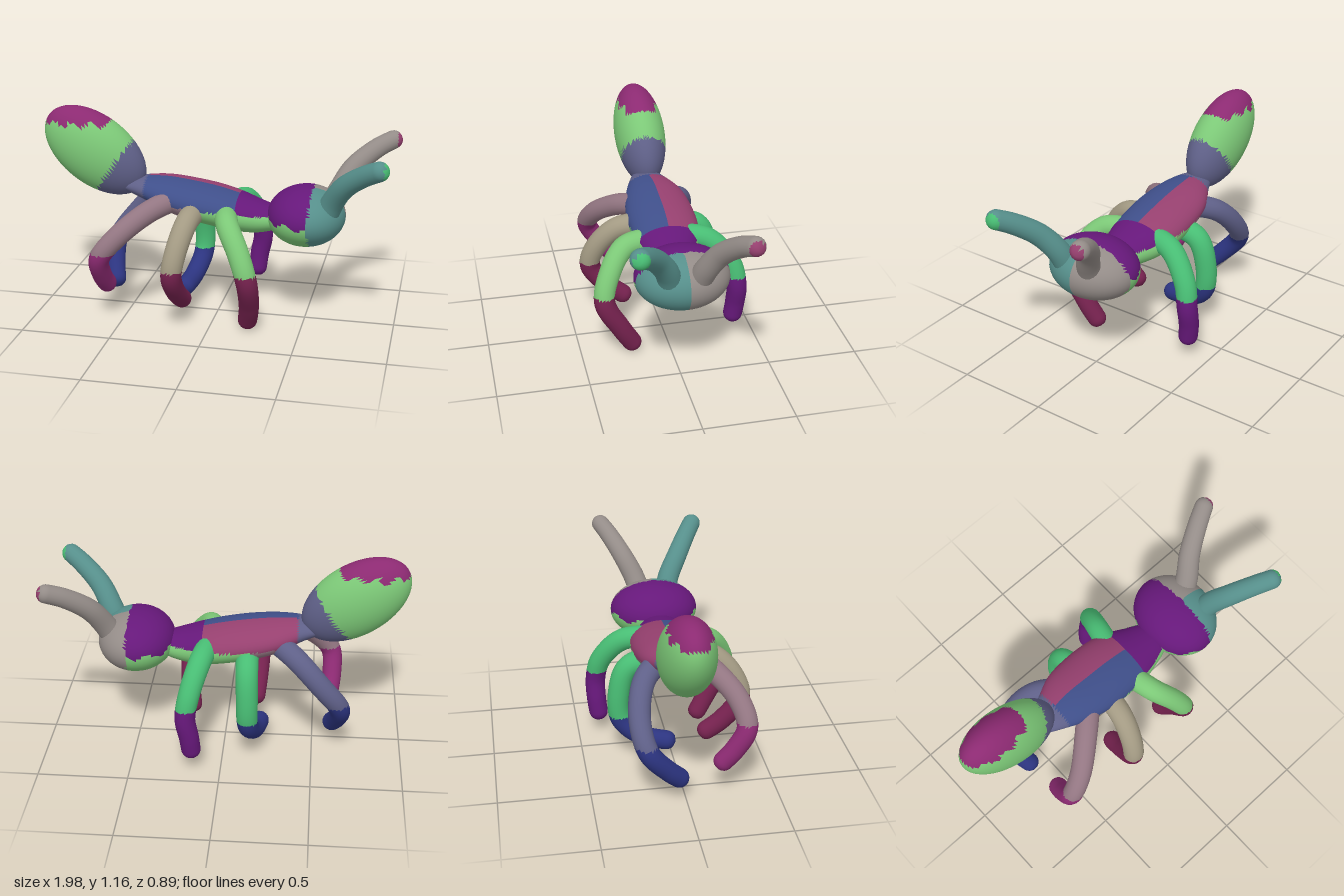
import * as THREE from 'three';
import { mergeVertices } from 'three/addons/utils/BufferGeometryUtils.js';

const C = {
  green: 0x7cc877, jade: 0x48bd74, purple: 0x66187a, magenta: 0x8c2a72, plum: 0x76224f,
  teal: 0x568f8b, grey: 0x948c88, slate: 0x5f6088, navy: 0x2c3480, blue: 0x3f4f8a,
  rose: 0x96406f, beige: 0xa39a83, mauve: 0x937682,
};

// Welds seams and recomputes smooth normals.
function smooth(geo) {
  geo.deleteAttribute('uv');
  geo.deleteAttribute('normal');
  const g = mergeVertices(geo, 1e-5);
  g.computeVertexNormals();
  return g;
}

// Splits a surface into one mesh per colour; pick(x, y, z) names the colour at a face centre.
function paint(name, geo, pick) {
  const group = new THREE.Group();
  group.name = name;
  const p = geo.attributes.position, idx = geo.index.array, lists = {};
  for (let i = 0; i < idx.length; i += 3) {
    const f = [idx[i], idx[i + 1], idx[i + 2]];
    const mid = (get) => (p[get](f[0]) + p[get](f[1]) + p[get](f[2])) / 3;
    (lists[pick(mid('getX'), mid('getY'), mid('getZ'))] ||= []).push(...f);
  }
  for (const [key, list] of Object.entries(lists)) {
    const part = new THREE.BufferGeometry();
    part.setAttribute('position', p);
    part.setAttribute('normal', geo.attributes.normal);
    part.setIndex(list);
    const mesh = new THREE.Mesh(part, new THREE.MeshStandardMaterial({ color: C[key] }));
    mesh.name = `${name} ${key}`;
    group.add(mesh);
  }
  return group;
}

function ellipsoid(radii, tilt, centre) {
  const g = new THREE.SphereGeometry(1, 48, 32);
  g.scale(...radii);
  g.rotateZ(tilt);
  g.translate(...centre);
  return smooth(g);
}

// Tube along a curve that tapers from r0 to r1 and ends in a rounded tip.
function limb(name, pts, r0, r1, pick) {
  const v = pts.map((a) => new THREE.Vector3(...a));
  const n = v.length;
  const dir = v[n - 1].clone().sub(v[n - 2]).normalize();
  v.push(v[n - 1].clone().addScaledVector(dir, r1 * 0.85));
  const curve = new THREE.CatmullRomCurve3(v, false, 'centripetal');
  const length = curve.getLength(), rows = 72, sides = 20;
  const g = new THREE.TubeGeometry(curve, rows, 1, sides, false);
  const p = g.attributes.position, q = new THREE.Vector3();
  for (let i = 0; i <= rows; i++) {
    const t = i / rows, c = curve.getPointAt(t);
    const k = Math.max(0, 1 - ((1 - t) * length) / r1);
    const r = THREE.MathUtils.lerp(r0, r1, t) * Math.sqrt(1 - k * k);
    for (let j = 0; j <= sides; j++) {
      const m = i * (sides + 1) + j;
      q.fromBufferAttribute(p, m).sub(c).multiplyScalar(r).add(c);
      p.setXYZ(m, q.x, q.y, q.z);
    }
  }
  return paint(name, smooth(g), pick);
}

// Loft of elliptical sections; each station is [x, top, bottom, zCentre, halfWidth].
function loft(stations) {
  const a = new THREE.CatmullRomCurve3(stations.map((s) => new THREE.Vector3(s[0], s[1], s[2])));
  const b = new THREE.CatmullRomCurve3(stations.map((s) => new THREE.Vector3(s[3], s[4], s[0])));
  const rows = 56, sides = 40, pos = [], idx = [];
  for (let i = 0; i <= rows; i++) {
    const s = a.getPoint(i / rows), w = b.getPoint(i / rows);
    for (let j = 0; j < sides; j++) {
      const t = (j / sides) * Math.PI * 2;
      pos.push(s.x, (s.y + s.z) / 2 + ((s.y - s.z) / 2) * Math.cos(t), w.x + w.y * Math.sin(t));
      if (i === rows) continue;
      const k = i * sides + j, c = i * sides + ((j + 1) % sides);
      idx.push(k, c, k + sides, c, c + sides, k + sides);
    }
  }
  const g = new THREE.BufferGeometry();
  g.setAttribute('position', new THREE.Float32BufferAttribute(pos, 3));
  g.setIndex(idx);
  g.computeVertexNormals();
  return g;
}

export function createModel() {
  const model = new THREE.Group();
  model.name = 'ant';

  // Abdomen: tilted egg at the rear
  model.add(paint('abdomen', ellipsoid([0.328, 0.2, 0.147], -0.62, [-0.71, 0.91, -0.02]), (x, y) => {
    if ((x + 0.71) * 0.81 - (y - 0.91) * 0.58 > 0.14) return 'slate';
    return y > 1.075 + 0.015 * Math.sin(x * 60) ? 'magenta' : 'green';
  }));

  // Thorax
  const thorax = loft([
    [-0.54, 0.76, 0.7, -0.01, 0.06], [-0.43, 0.78, 0.66, -0.01, 0.11],
    [-0.3, 0.785, 0.6, -0.02, 0.165], [-0.15, 0.77, 0.555, -0.02, 0.19],
    [0, 0.745, 0.525, -0.02, 0.19], [0.12, 0.715, 0.507, -0.015, 0.175],
    [0.22, 0.685, 0.505, -0.005, 0.14], [0.3, 0.66, 0.52, 0, 0.11], [0.37, 0.64, 0.54, 0, 0.06],
  ]);
  model.add(paint('thorax', thorax, (x, y, z) => {
    if (x < -0.4) return 'slate';
    if (y < 0.645 - 0.08 * x) return x > -0.15 ? 'green' : 'mauve';
    if (x > 0.12) return 'purple';
    return z > -0.02 ? 'blue' : 'rose';
  }));

  // Head
  model.add(paint('head', ellipsoid([0.215, 0.163, 0.255], 0, [0.495, 0.618, -0.003]), (x, y, z) => {
    if (x < 0.53) return y > 0.62 + 0.015 * Math.sin(x * 50) ? 'purple' : 'green';
    return z > 0 ? 'teal' : 'grey';
  }));

  // Antennae
  model.add(limb('leftAntenna',
    [[0.6, 0.62, 0.08], [0.65, 0.74, 0.11], [0.72, 0.85, 0.175], [0.83, 0.94, 0.25], [0.91, 0.985, 0.3]],
    0.066, 0.052, (x) => (x > 0.93 ? 'jade' : 'teal')));
  model.add(limb('rightAntenna',
    [[0.6, 0.62, -0.06], [0.66, 0.74, -0.09], [0.73, 0.86, -0.15], [0.85, 0.96, -0.22], [0.94, 1.005, -0.265]],
    0.066, 0.05, (x) => (x > 0.96 ? 'rose' : 'grey')));

  // Legs: name, path from hip to foot, upper colour, lower colour, height of the colour change
  const legs = [
    ['leftFrontLeg', [[0.06, 0.62, 0.08], [0.1, 0.6, 0.23], [0.18, 0.48, 0.33], [0.23, 0.34, 0.365],
      [0.23, 0.17, 0.28], [0.21, 0.05, 0.21]], 'green', 'plum', 0.38],
    ['leftMiddleLeg', [[-0.11, 0.63, 0.08], [-0.13, 0.6, 0.23], [-0.16, 0.48, 0.345], [-0.18, 0.35, 0.38],
      [-0.175, 0.22, 0.29], [-0.165, 0.14, 0.19]], 'beige', 'plum', 0.38],
    ['leftHindLeg', [[-0.24, 0.68, 0.08], [-0.36, 0.63, 0.19], [-0.5, 0.52, 0.3], [-0.595, 0.4, 0.33],
      [-0.605, 0.28, 0.265], [-0.595, 0.2, 0.2]], 'mauve', 'magenta', 0.43],
    ['rightFrontLeg', [[0.08, 0.64, -0.08], [0.12, 0.61, -0.24], [0.17, 0.47, -0.36], [0.19, 0.34, -0.39],
      [0.17, 0.22, -0.39], [0.16, 0.13, -0.38]], 'jade', 'purple', 0.4],
    ['rightMiddleLeg', [[-0.13, 0.62, -0.08], [-0.135, 0.57, -0.24], [-0.14, 0.42, -0.295],
      [-0.145, 0.25, -0.285], [-0.175, 0.15, -0.17], [-0.2, 0.12, -0.03]], 'jade', 'navy', 0.28],
    ['rightHindLeg', [[-0.26, 0.68, -0.07], [-0.4, 0.62, -0.19], [-0.54, 0.48, -0.235],
      [-0.645, 0.33, -0.205], [-0.635, 0.2, -0.1], [-0.61, 0.13, -0.03]], 'slate', 'navy', 0.36],
  ];
  for (const [name, path, upper, lower, split] of legs) {
    model.add(limb(name, path, 0.064, 0.053, (x, y) => (y > split ? upper : lower)));
  }
  return model;
}
